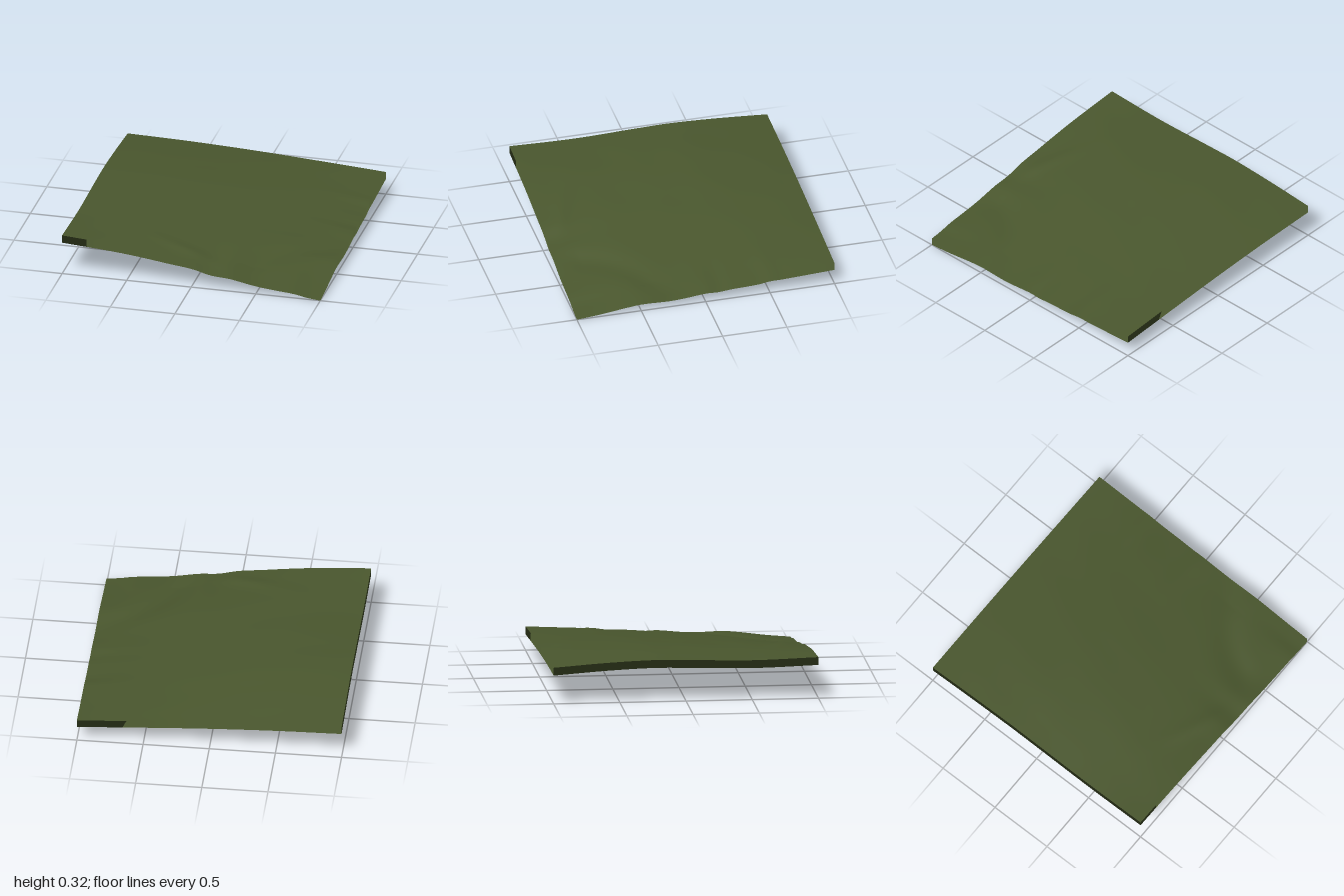
import * as THREE from 'three';

const SKIRT = 0.06;
const CELLS = 64;

// Edge height profiles as [position, height] pairs
const FRONT = [[-1, 0.315], [-0.5, 0.277], [0, 0.208], [0.5, 0.126], [1, 0.06]];
const BACK = [[-1, 0.277], [-0.5, 0.266], [0, 0.245], [0.5, 0.215], [1, 0.182]];
const LEFT = [[-1, 0.277], [-0.6, 0.305], [-0.25, 0.319], [0, 0.315], [0.5, 0.302], [1, 0.315]];
const RIGHT = [[-1, 0.182], [-0.5, 0.158], [0, 0.127], [0.5, 0.111], [1, 0.06]];

// Small unevenness that shows only close to the front and right edges
const FRONT_DETAIL = [[-1, 0], [-0.2, -0.002], [0, 0.002], [0.15, -0.011], [0.3, 0.001], [0.5, -0.004],
  [0.65, 0], [0.8, 0.005], [0.9, -0.002], [1, 0]];
const RIGHT_DETAIL = [[-1, 0], [-0.6, -0.001], [-0.5, 0.002], [-0.4, -0.006], [-0.2, -0.001], [-0.1, -0.004],
  [0, 0.004], [0.2, -0.009], [0.3, -0.01], [0.5, 0.003], [0.6, 0.002], [0.8, -0.003], [1, 0]];

// Smooth interpolation through a profile
function profile(points, t) {
  const last = points.length - 1;
  let i = 0;
  while (i < last - 1 && t > points[i + 1][0]) i++;
  const slope = (k) => {
    const a = points[Math.max(k - 1, 0)], b = points[Math.min(k + 1, last)];
    return (b[1] - a[1]) / (b[0] - a[0]);
  };
  const [x0, y0] = points[i], [x1, y1] = points[i + 1];
  const w = x1 - x0, u = (t - x0) / w, u2 = u * u, u3 = u2 * u;
  return (2 * u3 - 3 * u2 + 1) * y0 + (u3 - 2 * u2 + u) * w * slope(i)
    + (3 * u2 - 2 * u3) * y1 + (u3 - u2) * w * slope(i + 1);
}

const bump = (d, width) => Math.exp(-((d / width) ** 2));

// Ground height: a patch blended between the four edges, plus gentle relief
function height(x, z) {
  const u = (x + 1) / 2, v = (z + 1) / 2, mix = THREE.MathUtils.lerp;
  const sides = mix(profile(LEFT, z), profile(RIGHT, z), u);
  const ends = mix(profile(BACK, x), profile(FRONT, x), v);
  const corners = mix(mix(0.277, 0.182, u), mix(0.315, 0.06, u), v);
  const dome = 0.022 * (1 - x * x) * (1 - z * z);
  const detail = profile(FRONT_DETAIL, x) * bump(1 - z, 0.25) + profile(RIGHT_DETAIL, z) * bump(1 - x, 0.25);
  const fade = Math.min(1, 6 * (1 - Math.abs(x))) * Math.min(1, 6 * (1 - Math.abs(z)));
  // Curved gully around the low corner and a small bank near the front edge
  const gully = -0.014 * bump(Math.hypot(x - 1.15, z - 1.1) - 0.77, 0.11);
  const bank = 0.01 * bump(z - 0.8 - 0.4 * (x + 0.2), 0.07) * bump(x + 0.05, 0.28);
  const ripple = 0.0012 * Math.sin(8 * x + 10 * z) * Math.sin(6 * x - 4 * z + 1);
  return sides + ends - corners + dome + detail + fade * (gully + bank + ripple);
}

// Open sheet whose outermost ring of cells hangs down as a skirt
function buildSheet() {
  const geometry = new THREE.PlaneGeometry(2, 2, CELLS + 2, CELLS + 2).rotateX(-Math.PI / 2);
  const { position, normal } = geometry.attributes;
  const grow = (CELLS + 2) / CELLS, e = 0.015;
  const up = new THREE.Vector3();
  for (let i = 0; i < position.count; i++) {
    const gx = position.getX(i) * grow, gz = position.getZ(i) * grow;
    const x = THREE.MathUtils.clamp(gx, -1, 1), z = THREE.MathUtils.clamp(gz, -1, 1);
    const hangs = Math.max(Math.abs(gx), Math.abs(gz)) > 1 + 0.5 / CELLS;
    position.setXYZ(i, x, height(x, z) - (hangs ? SKIRT : 0), z);
    // The skirt shares the ground's normals, so it blends into the surface
    const x0 = Math.max(x - e, -1), x1 = Math.min(x + e, 1);
    const z0 = Math.max(z - e, -1), z1 = Math.min(z + e, 1);
    up.set((height(x0, z) - height(x1, z)) / (x1 - x0), 1, (height(x, z0) - height(x, z1)) / (z1 - z0));
    up.normalize();
    normal.setXYZ(i, up.x, up.y, up.z);
  }
  return geometry;
}

export function createModel() {
  const group = new THREE.Group();
  group.name = 'terrainTile';
  const grass = new THREE.MeshStandardMaterial({ color: 0x4a572e, side: THREE.DoubleSide });
  grass.name = 'olive grass';
  const ground = new THREE.Mesh(buildSheet(), grass);
  ground.name = 'ground';
  group.add(ground);
  return group;
}
